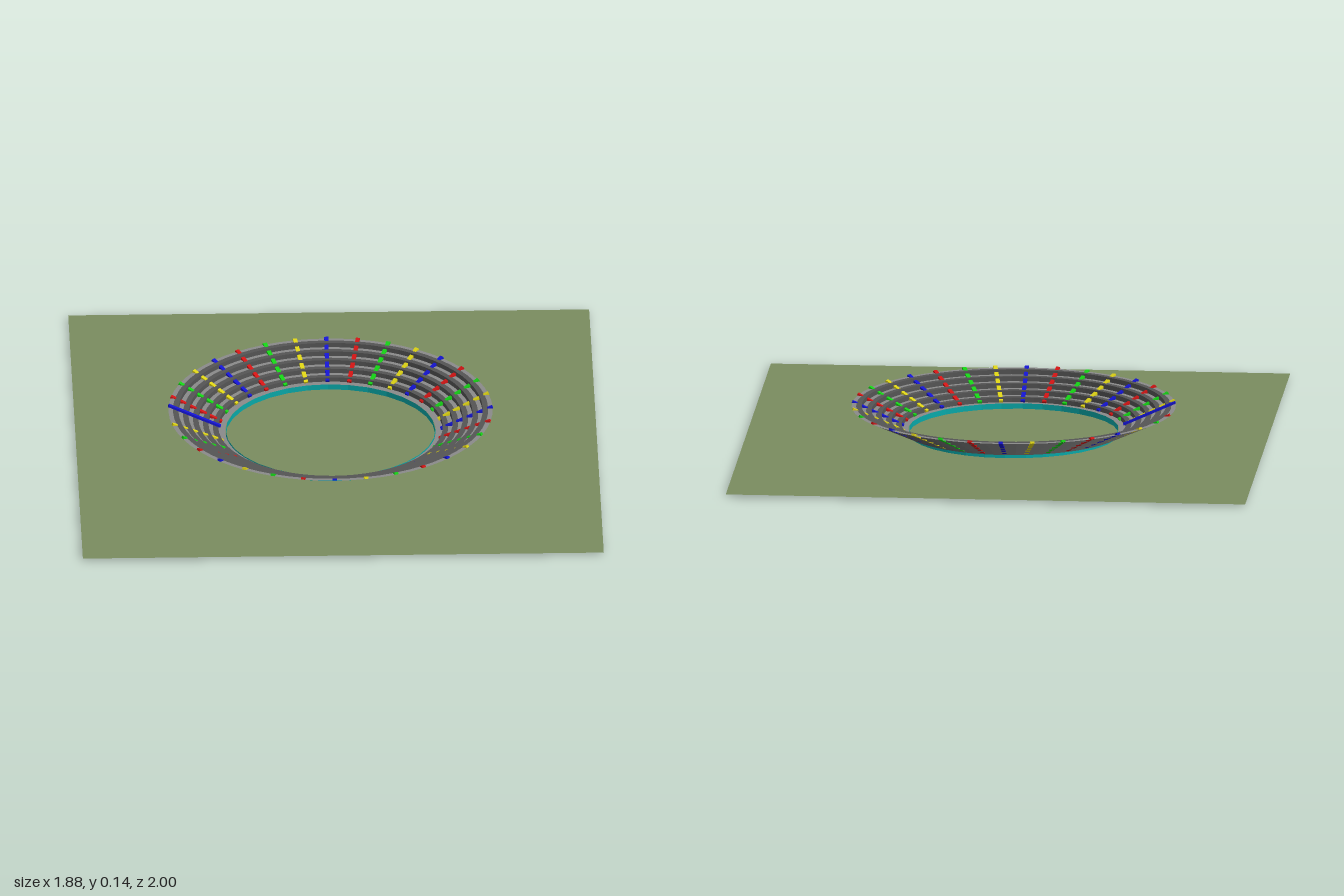
import * as THREE from 'three';

const mat = (color) =>
  new THREE.MeshStandardMaterial({ color, side: THREE.DoubleSide, flatShading: true });

export function createModel() {
  const model = new THREE.Group();
  const add = (parent, name, geometry, material) => {
    const mesh = new THREE.Mesh(geometry, material);
    mesh.name = name;
    parent.add(mesh);
    return mesh;
  };
  const lathe = (points, sides) =>
    new THREE.LatheGeometry(points.map(([r, y]) => new THREE.Vector2(r, y)), sides);

  // Flat field around and inside the bowl
  const ground = add(model, 'ground', new THREE.PlaneGeometry(1.88, 2).rotateX(-Math.PI / 2), mat(0x7a8c5f));
  ground.position.y = 0.01;

  const stadium = new THREE.Group();
  stadium.name = 'stadium';
  stadium.position.set(-0.02, 0, 0.01);
  model.add(stadium);

  // Thin barrier round the field
  add(stadium, 'barrier', lathe([[0.378, 0], [0.378, 0.03]], 32), mat(0x08a8a8));

  // Walkway and stepped seating rows: each a light aisle, a riser and a dark bench
  const light = mat(0x8a8a8a);
  const dark = mat(0x555555);
  add(stadium, 'walkway', lathe([[0.38, 0.028], [0.405, 0.028]], 64), light);
  const rows = 5, r0 = 0.405, y0 = 0.028;
  const run = (0.585 - r0) / rows, rise = (0.113 - y0) / rows;
  for (let i = 0; i < rows; i++) {
    const r = r0 + i * run, y = y0 + i * rise;
    add(stadium, 'riser', lathe([[r, y], [r, y + rise]], 64), dark);
    add(stadium, 'bench', lathe([[r, y + rise], [r + run * 0.55, y + rise]], 64), dark);
    add(stadium, 'aisle', lathe([[r + run * 0.55, y + rise], [r + run, y + rise]], 64), light);
  }

  // Coloured stairways running up the slope
  const colors = [0x1414d2, 0xdcd214, 0x14d214, 0xd21414].map(mat);
  const length = Math.hypot(0.187, 0.085);
  const stair = new THREE.BoxGeometry(length, 0.008, 0.015);
  stair.rotateZ(Math.atan2(0.085, 0.187));
  stair.translate(0.491, 0.075, 0);
  const count = 32;
  for (let i = 0; i < count; i++) {
    const mesh = add(stadium, 'stairway', stair, colors[i % 4]);
    mesh.rotation.y = (i / count) * Math.PI * 2;
    // One stairway stands proud of the rest
    if (i === count / 2) mesh.position.y = 0.02;
  }
  return model;
}
